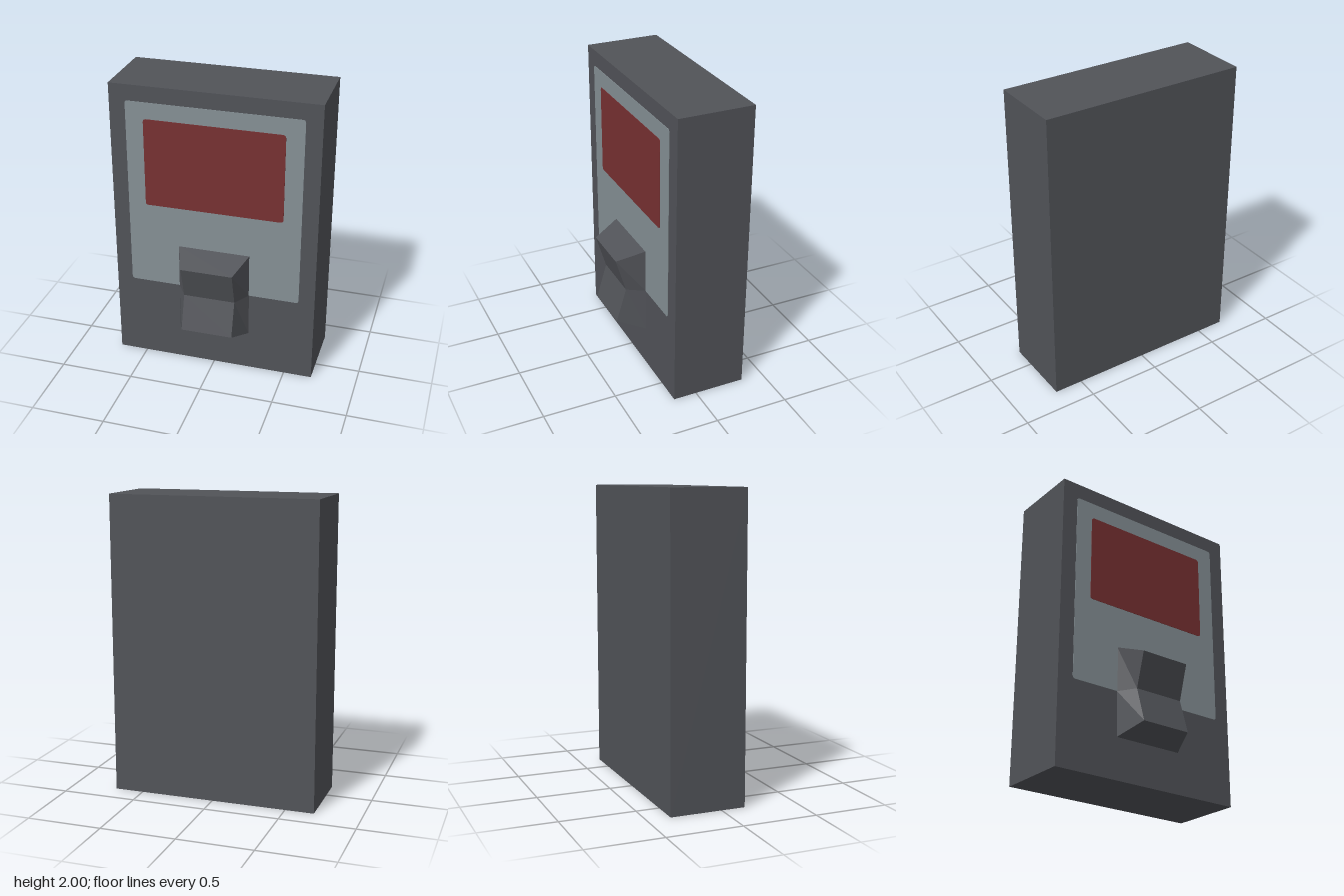
import * as THREE from 'three';

const FRONT = 0.16, BACK = -0.345;

// Thin plate with small rounded corners, lying on the front of the housing
function roundedPlate(name, width, bottom, top, z, depth, material) {
  const w = width / 2, r = 0.02;
  const s = new THREE.Shape();
  s.moveTo(-w + r, bottom);
  s.lineTo(w - r, bottom);
  s.quadraticCurveTo(w, bottom, w, bottom + r);
  s.lineTo(w, top - r);
  s.quadraticCurveTo(w, top, w - r, top);
  s.lineTo(-w + r, top);
  s.quadraticCurveTo(-w, top, -w, top - r);
  s.lineTo(-w, bottom + r);
  s.quadraticCurveTo(-w, bottom, -w + r, bottom);
  const geo = new THREE.ExtrudeGeometry(s, { depth, bevelEnabled: false, curveSegments: 3 });
  const mesh = new THREE.Mesh(geo, material);
  mesh.name = name;
  mesh.position.z = z;
  return mesh;
}

// Tapered rocker: three cross-section rows (top, valley, bottom)
function rockerGeometry() {
  const rows = [
    { base: 0.89, tip: 0.82, z: 0.345 },
    { base: 0.585, tip: 0.585, z: 0.275 },
    { base: 0.28, tip: 0.35, z: 0.345 },
  ].map(({ base, tip, z }) => [
    [-0.245, base, FRONT], [-0.175, tip, z], [0.175, tip, z], [0.245, base, FRONT],
  ]);
  const pos = [];
  const quad = (a, b, c, d) => pos.push(...a, ...b, ...c, ...a, ...c, ...d);
  for (let r = 0; r < 2; r++) {
    for (let i = 0; i < 3; i++) {
      quad(rows[r][i], rows[r + 1][i], rows[r + 1][i + 1], rows[r][i + 1]);
    }
  }
  quad(...rows[0]);
  quad(...[...rows[2]].reverse());
  const geo = new THREE.BufferGeometry();
  geo.setAttribute('position', new THREE.Float32BufferAttribute(pos, 3));
  geo.computeVertexNormals();
  return geo;
}

export function createModel() {
  const group = new THREE.Group();
  group.name = 'wallSwitch';

  const material = (name, color) => {
    const m = new THREE.MeshStandardMaterial({ color });
    m.name = name;
    return m;
  };
  const darkGrey = material('darkGrey', 0x515358);
  const paleGrey = material('paleGrey', 0x859095);
  const darkRed = material('darkRed', 0x773032);

  // Housing
  const housing = new THREE.Mesh(new THREE.BoxGeometry(1.386, 2, FRONT - BACK), darkGrey);
  housing.name = 'housing';
  housing.position.set(0, 1, (FRONT + BACK) / 2);
  group.add(housing);

  // Face plate and the red label on it
  group.add(roundedPlate('facePlate', 1.17, 0.585, 1.892, FRONT, 0.003, paleGrey));
  group.add(roundedPlate('redLabel', 0.932, 1.173, 1.78, FRONT + 0.003, 0.003, darkRed));

  // Rocker switch
  const rocker = new THREE.Mesh(rockerGeometry(), darkGrey);
  rocker.name = 'rockerSwitch';
  group.add(rocker);

  return group;
}
